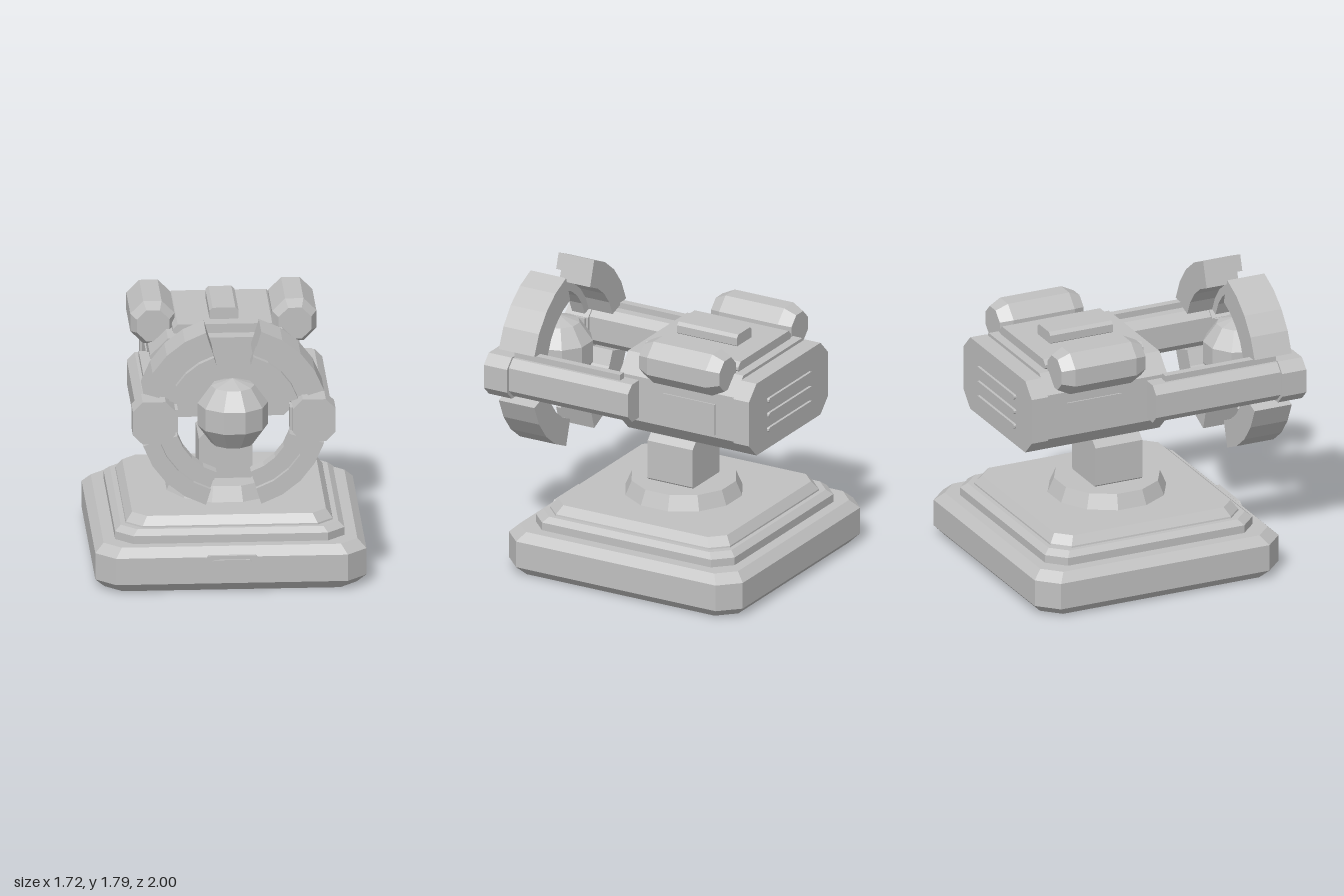
import * as THREE from 'three';

const grey = new THREE.MeshStandardMaterial({ color: 0xc0c0c0, flatShading: true });
grey.name = 'grey';

export function createModel() {
  const model = new THREE.Group();
  model.name = 'ringTurret';

  function add(name, geometry, x = 0, y = 0, z = 0) {
    const mesh = new THREE.Mesh(geometry, grey);
    mesh.name = name;
    mesh.position.set(x, y, z);
    model.add(mesh);
    return mesh;
  }

  // Box between two z values whose four long edges are chamfered
  function prism(name, x, y, w, h, c, z0, z1, cTop = c) {
    const a = w / 2, b = h / 2;
    const pts = [[a - c, -b], [a, -b + c], [a, b - cTop], [a - cTop, b],
      [-a + cTop, b], [-a, b - cTop], [-a, -b + c], [-a + c, -b]];
    const shape = new THREE.Shape(pts.map(p => new THREE.Vector2(...p)));
    return add(name, new THREE.ExtrudeGeometry(shape, { depth: z1 - z0, bevelEnabled: false }), x, y, z0);
  }

  function box(name, x, y, z, w, h, d) {
    return add(name, new THREE.BoxGeometry(w, h, d), x, y, z);
  }

  // Stack of corner-cut rectangles; each level is [y, half width, half depth, corner cut]
  function tier(name, levels, z) {
    const pos = [], index = [];
    for (const [y, a, b, c] of levels) {
      for (const [px, pz] of [[a, b - c], [a - c, b], [c - a, b], [-a, b - c],
        [-a, c - b], [c - a, -b], [a - c, -b], [a, c - b]]) pos.push(px, y, pz);
    }
    const last = (levels.length - 1) * 8;
    for (let k = 0; k < last; k += 8) {
      for (let i = 0; i < 8; i++) {
        const j = (i + 1) % 8;
        index.push(k + i, k + 8 + i, k + j, k + j, k + 8 + i, k + 8 + j);
      }
    }
    for (let i = 1; i < 7; i++) index.push(0, i, i + 1, last, last + i + 1, last + i);
    const g = new THREE.BufferGeometry();
    g.setAttribute('position', new THREE.Float32BufferAttribute(pos, 3));
    g.setIndex(index);
    g.computeVertexNormals();
    return add(name, g, 0, 0, z);
  }

  // Four-sided arc block swept around the ring centre
  function arc(name, r0, r1, z0, z1, startDeg, endDeg) {
    const pts = [];
    const point = (r, t) => {
      const a = THREE.MathUtils.degToRad(startDeg + (endDeg - startDeg) * t);
      pts.push(new THREE.Vector2(r * Math.cos(a), r * Math.sin(a)));
    };
    for (let i = 0; i <= 4; i++) point(r1, i / 4);
    for (let i = 4; i >= 0; i--) point(r0, i / 4);
    const g = new THREE.ExtrudeGeometry(new THREE.Shape(pts), { depth: z1 - z0, bevelEnabled: false });
    return add(name, g, 0, 1.215, z0);
  }

  // Stepped base
  tier('baseFoot', [[0, 0.8, 0.8, 0.11], [0.06, 0.86, 0.858, 0.125],
    [0.235, 0.86, 0.858, 0.125], [0.29, 0.805, 0.8, 0.11]], -0.142);
  tier('baseStep', [[0.28, 0.728, 0.73, 0.11], [0.342, 0.728, 0.73, 0.11], [0.375, 0.69, 0.69, 0.1]], -0.142);
  tier('baseTop', [[0.365, 0.66, 0.662, 0.1], [0.385, 0.655, 0.66, 0.1], [0.44, 0.615, 0.62, 0.09]], -0.142);
  prism('frontPlate', 0, 0.183, 0.34, 0.125, 0.02, 0.7, 0.728);
  prism('frontSlot', 0, 0.196, 0.25, 0.05, 0.012, 0.72, 0.74);

  // Collar and post
  const collar = new THREE.CylinderGeometry(0.342, 0.385, 0.1, 12);
  collar.rotateY(Math.PI / 12);
  add('collar', collar, 0, 0.485, -0.137);
  prism('post', 0, 0.685, 0.34, 0.31, 0.015, -0.3, 0.03, 0.04);

  // Main housing
  prism('housing', 0, 1.218, 0.96, 0.525, 0.112, -0.79, 0.055);
  prism('rearHousing', 0, 1.215, 0.99, 0.49, 0.095, -0.905, -0.79);
  prism('deck', 0, 1.505, 0.66, 0.07, 0.02, -0.73, -0.04, 0.03);
  prism('deckPlate', 0, 1.57, 0.185, 0.09, 0.02, -0.58, -0.14);
  for (const y of [1.1, 1.2, 1.3]) prism('rearRib', 0, y, 0.54, 0.03, 0.008, -0.922, -0.9);

  // Parts on both sides
  for (const s of [1, -1]) {
    box('sidePanel', s * 0.48, 1.19, -0.46, 0.018, 0.21, 0.38);

    // Eight-sided pod with tapered ends
    const profile = [[0, -0.295], [0.112, -0.295], [0.152, -0.215], [0.152, 0.215], [0.112, 0.295], [0, 0.295]];
    const pod = new THREE.LatheGeometry(profile.map(p => new THREE.Vector2(...p)), 8, Math.PI / 8);
    pod.rotateX(Math.PI / 2);
    add('pod', pod, s * 0.45, 1.504, -0.428);

    // Arm with a top rail, an end block and an inner clip
    prism('arm', s * 0.505, 1.218, 0.23, 0.255, 0.05, -0.09, 0.79);
    box('armRail', s * 0.525, 1.362, 0.398, 0.05, 0.046, 0.776);
    prism('armHead', s * 0.508, 1.214, 0.27, 0.28, 0.062, 0.785, 0.955);
    box('armClip', s * 0.37, 1.215, 0.86, 0.03, 0.15, 0.12);
  }

  // Broken ring in four sections
  for (const mid of [45, 135, 225, 315]) {
    arc('ringSection', 0.425, 0.6, 0.625, 0.85, mid - 28, mid + 28);
    arc('ringFace', 0.493, 0.6, 0.85, 0.886, mid - 28, mid + 28);
    arc('ringLip', 0.372, 0.427, 0.8, 0.893, mid - 28, mid + 28);
  }

  // Faceted orb inside the ring
  add('orb', new THREE.SphereGeometry(0.235, 10, 5), 0, 1.215, 0.785);

  return model;
}
